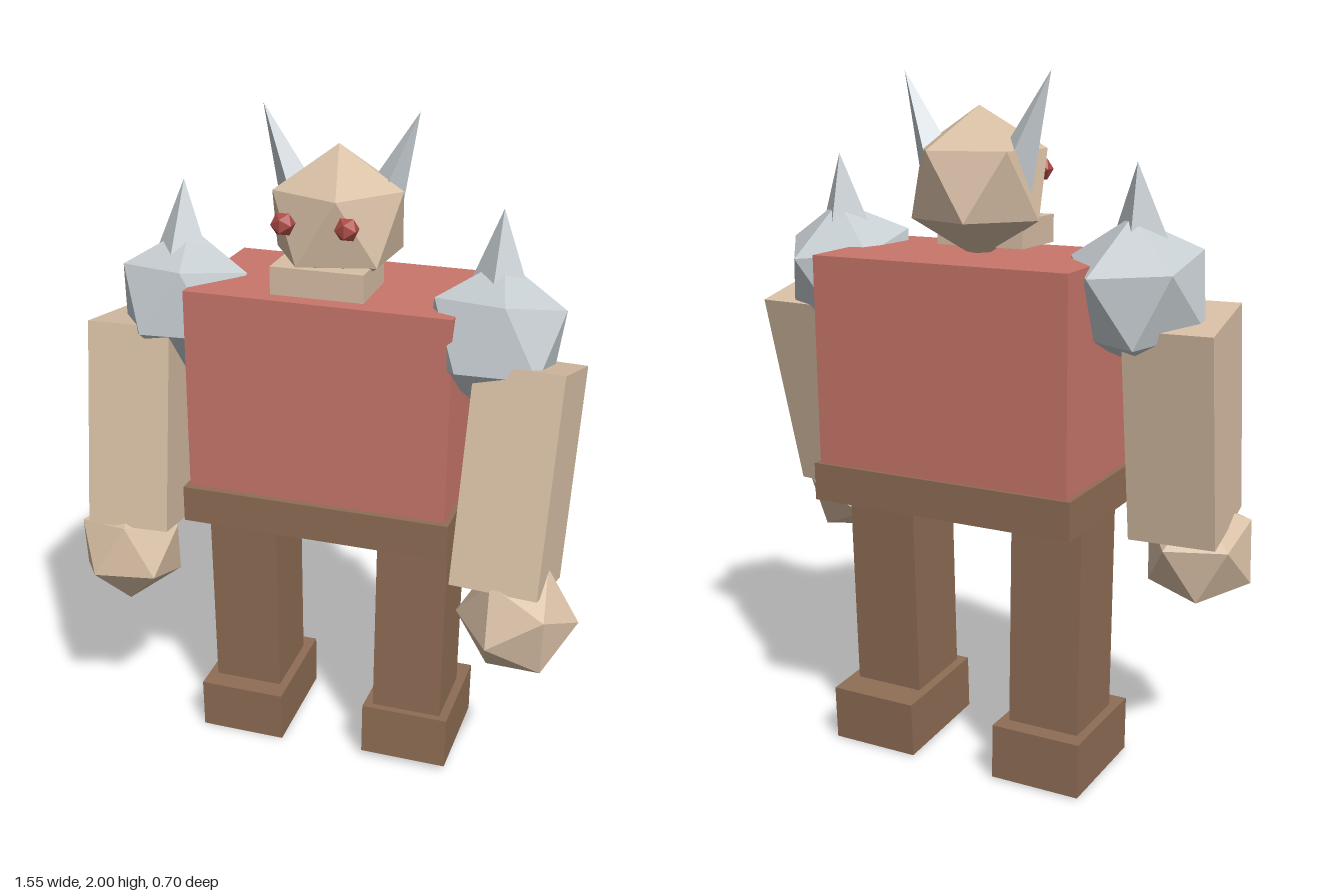
import * as THREE from 'three';

const mat = (name, color) => {
  const m = new THREE.MeshStandardMaterial({ color, flatShading: true });
  m.name = name;
  return m;
};

export function createModel() {
  const root = new THREE.Group();
  root.name = 'golem';
  const skin = mat('sandstone skin', 0xd8bfa5);
  const red = mat('red tunic', 0xc8766b);
  const brown = mat('brown leather', 0x8f6d55);
  const steel = mat('pale steel', 0xc6cdd1);
  const eyeRed = mat('eye red', 0xac4c46);

  const add = (name, geometry, material, pos, rot = [0, 0, 0]) => {
    const mesh = new THREE.Mesh(geometry, material);
    mesh.name = name;
    mesh.position.set(...pos);
    mesh.rotation.set(...rot, 'YXZ');
    root.add(mesh);
    return mesh;
  };
  const box = (name, size, material, pos, rot) =>
    add(name, new THREE.BoxGeometry(...size), material, pos, rot);

  // Twenty-sided rock with one corner along d0 and a neighbouring corner towards d1
  const rock = (name, r, material, pos, d0, d1) => {
    const geometry = new THREE.IcosahedronGeometry(r, 0);
    geometry.rotateX(-Math.atan2((1 + Math.sqrt(5)) / 2, 1));
    const y = new THREE.Vector3(...d0).normalize();
    const x = new THREE.Vector3().crossVectors(y, new THREE.Vector3(...d1)).normalize();
    const z = new THREE.Vector3().crossVectors(x, y);
    geometry.applyMatrix4(new THREE.Matrix4().makeBasis(x, y, z));
    return add(name, geometry, material, pos);
  };

  // Four-sided spike between two points
  const spike = (name, r, base, tip) => {
    const a = new THREE.Vector3(...base);
    const b = new THREE.Vector3(...tip);
    const mesh = add(name, new THREE.ConeGeometry(r, a.distanceTo(b), 4), steel,
      a.clone().add(b).multiplyScalar(0.5).toArray());
    mesh.quaternion.setFromUnitVectors(new THREE.Vector3(0, 1, 0), b.sub(a).normalize());
  };

  // Trunk
  box('torso', [0.78, 0.61, 0.47], red, [0, 1.2, -0.11], [-0.015, -0.005, 0]);
  box('belt', [0.81, 0.11, 0.5], brown, [0, 0.848, -0.1], [-0.01, -0.005, 0]);

  // Legs, in a slight stride
  box('leftLeg', [0.215, 0.62, 0.235], brown, [0.27, 0.485, -0.08], [-0.04, 0, 0]);
  box('leftFoot', [0.27, 0.165, 0.352], brown, [0.27, 0.094, -0.1], [-0.045, 0, 0]);
  box('rightLeg', [0.215, 0.63, 0.235], brown, [-0.27, 0.48, -0.1], [0.015, 0, 0]);
  box('rightFoot', [0.27, 0.162, 0.352], brown, [-0.27, 0.084, -0.1], [0.012, 0, 0]);

  // Arms swung forward by different amounts
  box('leftArm', [0.25, 0.62, 0.285], skin, [0.58, 1.057, 0.066], [-0.25, -0.08, 0]);
  box('rightArm', [0.25, 0.62, 0.285], skin, [-0.58, 1.055, 0.015], [-0.17, 0.06, 0]);
  rock('leftFist', 0.172, skin, [0.62, 0.677, 0.19], [-0.33, -0.15, 0.93], [0.53, 0.38, 0.75]);
  rock('rightFist', 0.172, skin, [-0.606, 0.66, 0.11], [-0.31, -0.2, 0.93], [0.7, -0.24, 0.67]);

  // Shoulder armour
  rock('leftShoulder', 0.212, steel, [0.475, 1.42, -0.028], [0.07, 0.047, -0.198], [0.19, 0.09, -0.02]);
  rock('rightShoulder', 0.212, steel, [-0.465, 1.42, -0.07], [0.065, 0.055, -0.19], [0.19, 0.09, 0]);
  spike('leftShoulderSpike', 0.1, [0.473, 1.51, -0.045], [0.473, 1.765, -0.08]);
  spike('rightShoulderSpike', 0.1, [-0.473, 1.51, -0.065], [-0.473, 1.768, -0.11]);

  // Head and face
  rock('head', 0.212, skin, [0.005, 1.695, -0.087], [0, 1, 0], [1, 0.5, 0.06]);
  box('jaw', [0.27, 0.08, 0.2], skin, [0, 1.56, 0.002]);
  for (const [side, s] of [['left', 1], ['right', -1]]) {
    add(`${side}Eye`, new THREE.IcosahedronGeometry(0.035, 0), eyeRed, [s * 0.09, 1.725, 0.112]);
    spike(`${side}Horn`, 0.07, [s * 0.105, 1.7, -0.115], [s * 0.225, 2, -0.115]);
  }
  return root;
}
